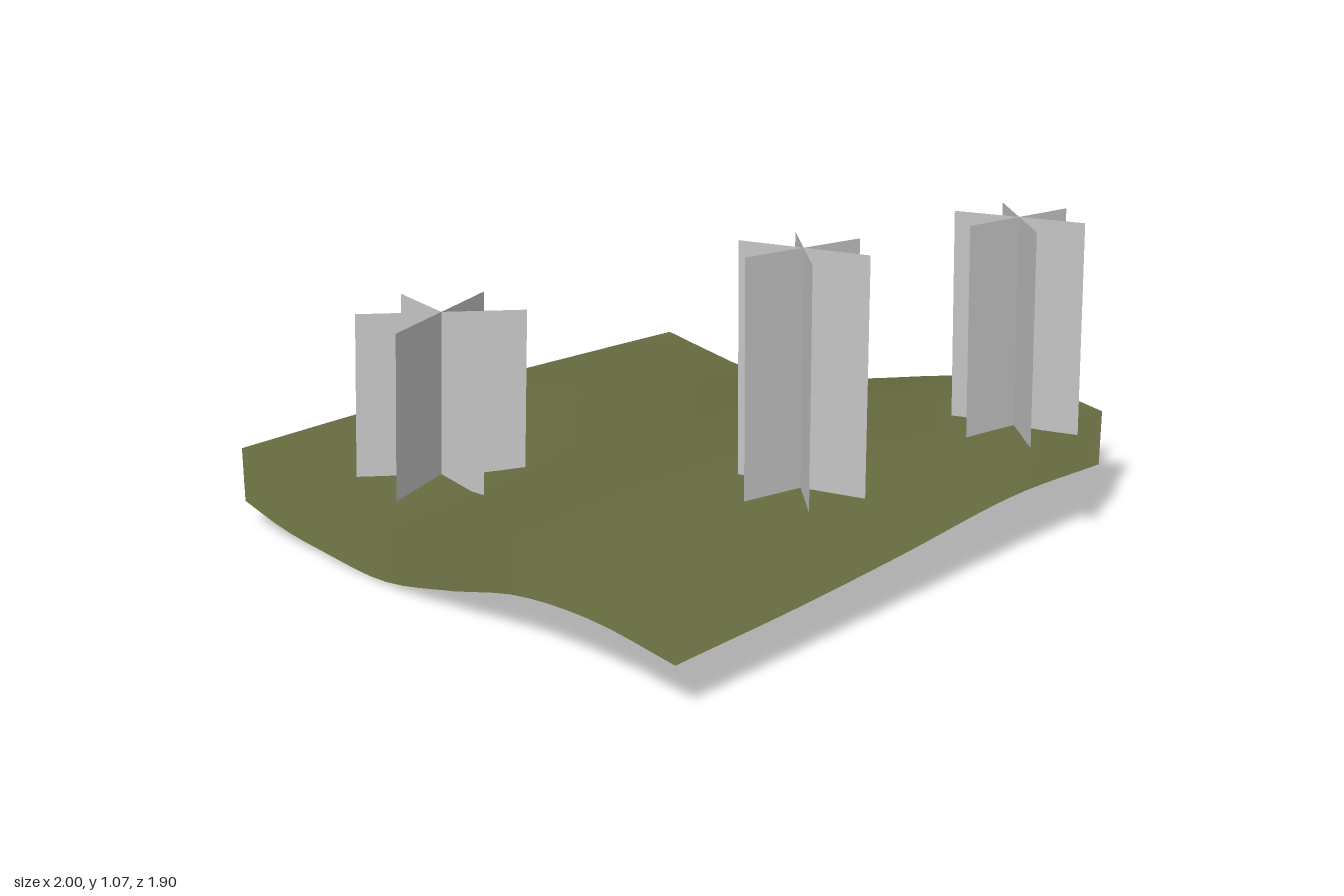
import * as THREE from 'three';

const moss = new THREE.MeshStandardMaterial({ name: 'mossGreen', color: 0x666a3f, side: THREE.DoubleSide });
const grey = new THREE.MeshStandardMaterial({ name: 'lightGrey', color: 0xc4c4c4, side: THREE.DoubleSide });

// Ground heights: one row per z station, one value per x station
const xs = [-1, -0.8, -0.6, -0.3, 0, 0.3, 0.6, 0.9];
const zs = [-0.95, -0.5, 0.05, 0.5, 0.95];
const rows = [
  0.236, 0.205, 0.18, 0.205, 0.275, 0.35, 0.405, 0.366,
  0.247, 0.235, 0.22, 0.25, 0.32, 0.37, 0.39, 0.385,
  0.258, 0.25, 0.235, 0.25, 0.315, 0.385, 0.405, 0.352,
  0.26, 0.24, 0.225, 0.225, 0.285, 0.365, 0.385, 0.332,
  0.255, 0.216, 0.2, 0.192, 0.253, 0.33, 0.35, 0.323,
];
const alongZ = new THREE.CubicInterpolant(zs, rows, 8);
function groundHeight(x, z) {
  const section = Array.from(alongZ.evaluate(THREE.MathUtils.clamp(z, -0.95, 0.95)));
  return new THREE.CubicInterpolant(xs, section, 1).evaluate(THREE.MathUtils.clamp(x, -1, 0.9))[0];
}

const N = 24;
const DEPTH = 0.176;

// Rolling top sheet
function groundTop() {
  const geo = new THREE.PlaneGeometry(1.9, 1.9, N, N).rotateX(-Math.PI / 2).translate(-0.05, 0, 0);
  const p = geo.attributes.position;
  for (let i = 0; i < p.count; i++) p.setY(i, groundHeight(p.getX(i), p.getZ(i)));
  geo.computeVertexNormals();
  return geo;
}

// Skirt hanging from the rim, open below, sharing the sheet's soft normals
function groundSkirt(top) {
  const at = (col, row) => row * (N + 1) + col;
  const rim = [];
  for (let i = 0; i < N; i++) rim.push(at(i, N));
  for (let i = 0; i < N; i++) rim.push(at(N, N - i));
  for (let i = 0; i < N; i++) rim.push(at(N - i, 0));
  for (let i = 0; i <= N; i++) rim.push(at(0, i));
  const p = top.attributes.position, n = top.attributes.normal;
  const pos = [], nor = [], index = [];
  rim.forEach((v, k) => {
    for (const drop of [0, DEPTH]) {
      pos.push(p.getX(v), p.getY(v) - drop, p.getZ(v));
      nor.push(n.getX(v), n.getY(v), n.getZ(v));
    }
    if (k < rim.length - 1) {
      const a = 2 * k;
      index.push(a + 1, a + 3, a, a + 3, a + 2, a);
    }
  });
  const geo = new THREE.BufferGeometry();
  geo.setAttribute('position', new THREE.Float32BufferAttribute(pos, 3));
  geo.setAttribute('normal', new THREE.Float32BufferAttribute(nor, 3));
  geo.setIndex(index);
  return geo;
}

// Three crossed upright cards; the foot is shifted sideways by a small lean
function crossedCards({ x, z, bottom, top, half, angle, lean }) {
  const group = new THREE.Group();
  group.name = 'crossedCards';
  const h = top - bottom;
  for (let i = 0; i < 3; i++) {
    const geo = new THREE.PlaneGeometry(2 * half, h).translate(0, h / 2, 0);
    geo.rotateY(-THREE.MathUtils.degToRad(angle + i * 60));
    const p = geo.attributes.position;
    for (let k = 0; k < p.count; k++) {
      const s = 1 - p.getY(k) / h;
      p.setX(k, p.getX(k) + lean[0] * s);
      p.setZ(k, p.getZ(k) + lean[1] * s);
    }
    geo.computeVertexNormals();
    const card = new THREE.Mesh(geo, grey);
    card.name = 'card';
    group.add(card);
  }
  group.position.set(x, bottom, z);
  return group;
}

export function createModel() {
  const model = new THREE.Group();
  model.name = 'groundPatch';

  const topGeo = groundTop();
  const sheet = new THREE.Mesh(topGeo, moss);
  sheet.name = 'groundTop';
  const skirt = new THREE.Mesh(groundSkirt(topGeo), moss);
  skirt.name = 'groundSkirt';
  model.add(sheet, skirt);

  model.add(
    crossedCards({ x: -0.46, z: 0.57, bottom: 0.22, top: 0.727, half: 0.257, angle: 10, lean: [0.012, 0.033] }),
    crossedCards({ x: 0.703, z: 0.258, bottom: 0.388, top: 1.072, half: 0.192, angle: 42, lean: [0.006, 0.002] }),
    crossedCards({ x: 0.806, z: -0.585, bottom: 0.383, top: 1.033, half: 0.196, angle: 40, lean: [0.01, -0.012] }),
  );
  return model;
}
